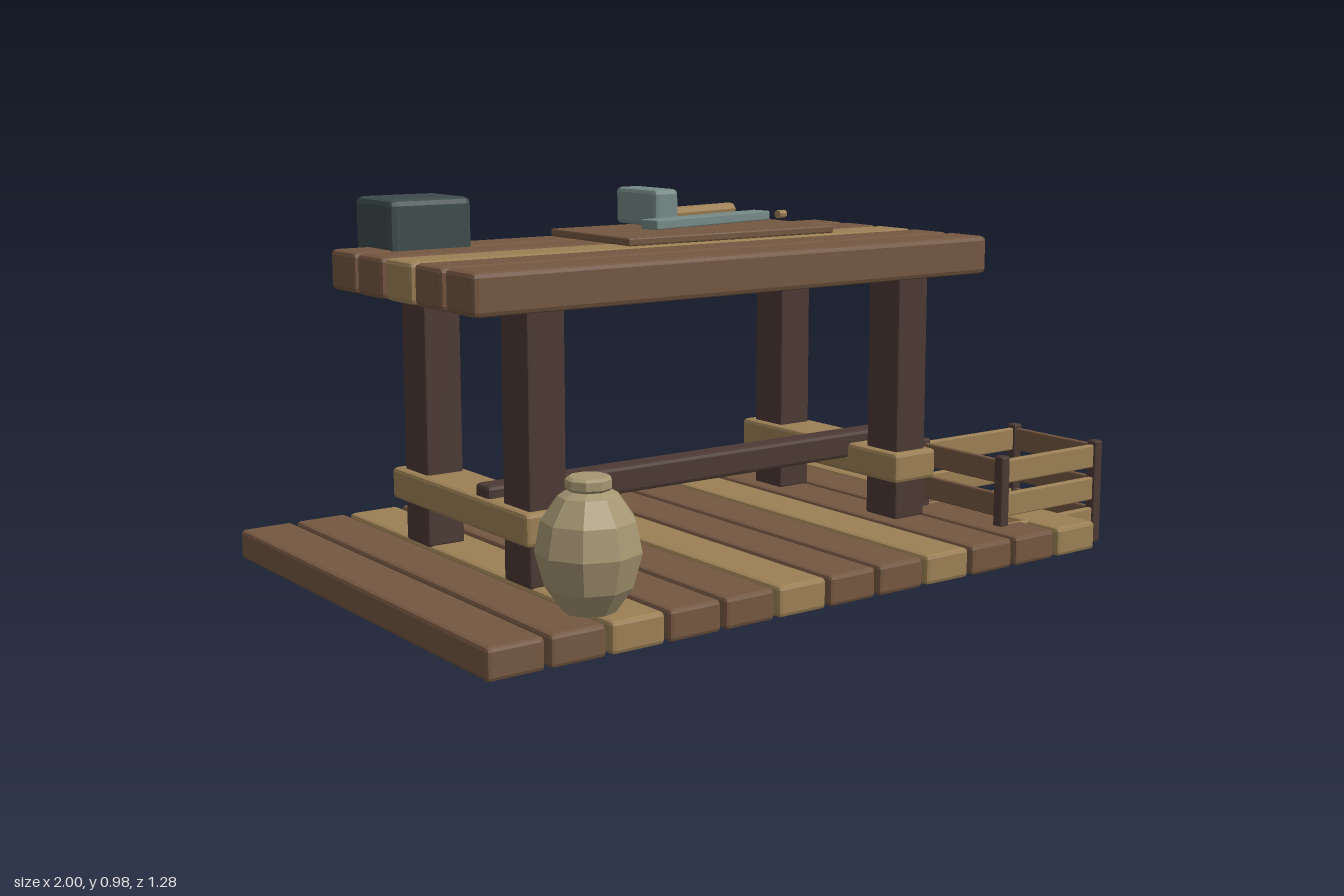
import * as THREE from 'three';
import { toCreasedNormals } from 'three/addons/utils/BufferGeometryUtils.js';
import { RoundedBoxGeometry } from 'three/addons/geometries/RoundedBoxGeometry.js';

const material = (name, color) => {
  const m = new THREE.MeshStandardMaterial({ color });
  m.name = name;
  return m;
};

export function createModel() {
  const model = new THREE.Group();
  model.name = 'workbench';
  const brown = material('brown wood', 0x745741);
  const light = material('light wood', 0x9c8055);
  const dark = material('dark wood', 0x4b3933);
  const clay = material('clay', 0xa59672);
  const steel = material('steel', 0x758986);
  const iron = material('iron', 0x3d4a4b);

  const add = (parent, name, geometry, mat) => {
    const mesh = new THREE.Mesh(toCreasedNormals(geometry, 0.05), mat);
    mesh.name = name;
    parent.add(mesh);
    return mesh;
  };
  // Chamfered box given by its limits on each axis
  const block = (parent, name, mat, [x0, x1], [y0, y1], [z0, z1], bevel = 0.01) => {
    const mesh = add(parent, name, new RoundedBoxGeometry(x1 - x0, y1 - y0, z1 - z0, 1, bevel), mat);
    mesh.position.set((x0 + x1) / 2, (y0 + y1) / 2, (z0 + z1) / 2);
    return mesh;
  };
  // Faceted rod between two points
  const rod = (parent, name, mat, a, b, radius, sides = 8) => {
    const from = new THREE.Vector3(...a), to = new THREE.Vector3(...b);
    const mesh = add(parent, name, new THREE.CylinderGeometry(radius, radius, from.distanceTo(to), sides), mat);
    mesh.position.lerpVectors(from, to, 0.5);
    mesh.quaternion.setFromUnitVectors(new THREE.Vector3(0, 1, 0), to.sub(from).normalize());
    return mesh;
  };
  const group = (name) => {
    const g = new THREE.Group();
    g.name = name;
    model.add(g);
    return g;
  };

  // Plank floor, every third plank light
  const floor = group('floor');
  for (let i = 0; i < 12; i++) {
    const x = -0.929 + i * 0.156;
    block(floor, 'floorPlank', i % 3 === 2 ? light : brown, [x - 0.071, x + 0.071], [0.022, 0.098], [-0.637, 0.63]);
  }

  // Table top
  const table = group('table');
  for (let i = -2; i <= 2; i++) {
    const z = -0.003 + i * 0.1435;
    block(table, 'topPlank', i === 0 ? light : brown, [-0.855, 0.712], [0.744, 0.844], [z - 0.066, z + 0.066], 0.012);
  }
  // Legs, side rails and long stretcher
  for (const x of [-0.64, 0.497]) {
    for (const z of [0.24, -0.243]) {
      block(table, 'leg', dark, [x - 0.051, x + 0.051], [0.095, 0.75], [z - 0.059, z + 0.059], 0.006);
    }
    block(table, 'sideRail', light, [x - 0.072, x + 0.072], [0.2, 0.28], [-0.335, 0.32]);
  }
  block(table, 'stretcher', dark, [-0.7, 0.56], [0.24, 0.31], [0.065, 0.13]);

  // Clay jar
  const profile = [[0, 0.098], [0.06, 0.098], [0.1, 0.155], [0.122, 0.235], [0.108, 0.305], [0.07, 0.36],
    [0.048, 0.372], [0.053, 0.378], [0.053, 0.397], [0.045, 0.403], [0, 0.403]];
  const jar = add(model, 'jar', new THREE.LatheGeometry(profile.map(([r, y]) => new THREE.Vector2(r, y)), 9), clay);
  jar.position.set(-0.675, 0, 0.522);

  // Slatted crate
  const crate = group('crate');
  const xs = [0.625, 0.983], zs = [0.212, 0.511];
  for (const x of xs) {
    for (const z of zs) block(crate, 'cratePost', dark, [x - 0.015, x + 0.015], [0, 0.284], [z - 0.015, z + 0.015], 0.005);
  }
  for (const [y0, y1] of [[0.03, 0.098], [0.12, 0.183], [0.21, 0.273]]) {
    for (const z of zs) block(crate, 'crateLongSlat', light, [0.62, 0.988], [y0, y1], [z - 0.009, z + 0.009], 0.004);
    for (const x of xs) block(crate, 'crateEndSlat', brown, [x - 0.008, x + 0.008], [y0, y1], [0.21, 0.513], 0.004);
  }
  block(crate, 'crateBottom', brown, [0.625, 0.983], [0.008, 0.028], [0.215, 0.508], 0.004);

  // Iron vice with a steel handle
  const vice = group('vice');
  block(vice, 'viceBody', iron, [-0.755, -0.527], [0.803, 0.967], [-0.418, -0.222], 0.016);
  rod(vice, 'viceHandle', steel, [-0.64, 0.874, -0.573], [-0.64, 0.874, -0.437], 0.026);

  // Tool board
  const tools = group('tools');
  block(tools, 'toolBoard', brown, [-0.268, 0.393], [0.851, 0.871], [-0.267, 0.095], 0.004);

  // Hammer
  block(tools, 'hammerHead', steel, [-0.102, -0.027], [0.882, 0.977], [-0.21, -0.028], 0.012);
  rod(tools, 'hammerHandle', light, [-0.05, 0.902, -0.12], [0.263, 0.902, -0.187], 0.02);

  // Chisel blade and its small wooden tip
  const blade = block(tools, 'chiselBlade', steel, [-0.192, 0.248], [0.887, 0.911], [-0.008, 0.048], 0.003);
  blade.rotation.y = 0.205;
  rod(tools, 'chiselTip', light, [0.282, 0.899, -0.006], [0.31, 0.899, -0.012], 0.011);

  return model;
}
